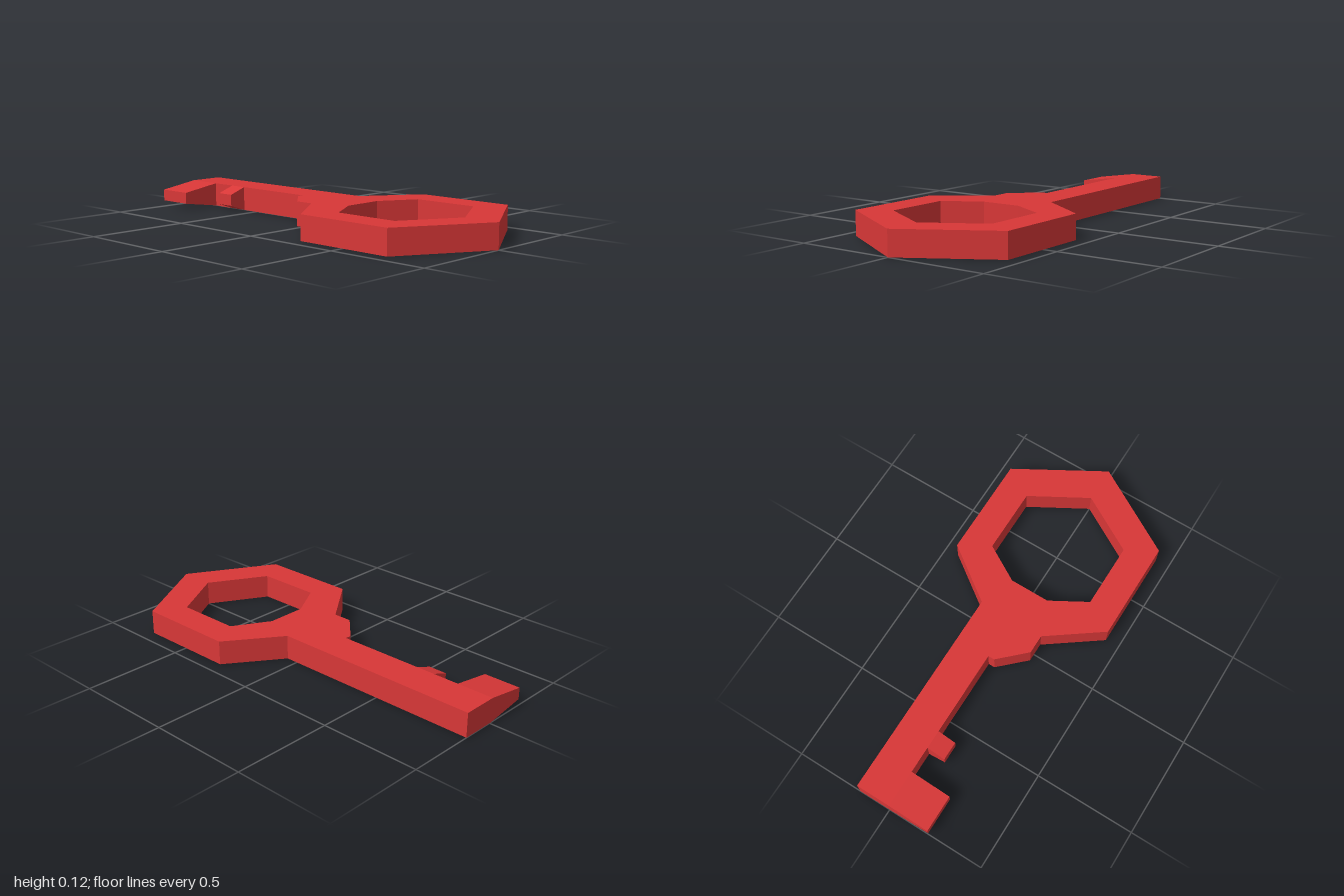
import * as THREE from 'three';

const THICK = 0.12;

// Outline points are [x, z] pairs on the ground plane.
const toShapePoints = (pts) => pts.map(([x, z]) => new THREE.Vector2(x, -z));

export function createModel() {
  const red = new THREE.MeshStandardMaterial({ color: 0xd83737 });
  const key = new THREE.Group();
  key.name = 'key';

  const add = (name, geometry) => {
    const mesh = new THREE.Mesh(geometry, red);
    mesh.name = name;
    key.add(mesh);
  };

  // Hexagonal bow, stepped collar and straight shaft in one flat plate
  const outline = new THREE.Shape(toShapePoints([
    [0, 1], [0.43, 0.75], [0.43, 0.25], [0.165, 0.06], [0.165, -1],
    [-0.01, -1], [-0.01, -0.157], [-0.042, -0.157], [-0.17, -0.035],
    [-0.17, 0.06], [-0.43, 0.25], [-0.43, 0.75],
  ]));
  // Finger hole, cut flat on the shaft side
  outline.holes.push(new THREE.Path(toShapePoints([
    [0, 0.823], [-0.28, 0.662], [-0.28, 0.337], [-0.1, 0.233],
    [0.1, 0.233], [0.28, 0.337], [0.28, 0.662],
  ])));
  const plate = new THREE.ExtrudeGeometry(outline, { depth: THICK, bevelEnabled: false });
  plate.rotateX(-Math.PI / 2);
  add('bowAndShaft', plate);

  // Teeth taper to half thickness at the tip
  const addTooth = (name, tipX, zBack, zFront) => {
    const section = new THREE.Shape([
      new THREE.Vector2(-0.01, 0), new THREE.Vector2(-0.01, THICK),
      new THREE.Vector2(tipX, THICK * 0.74), new THREE.Vector2(tipX, THICK * 0.26),
    ]);
    const tooth = new THREE.ExtrudeGeometry(section, { depth: zFront - zBack, bevelEnabled: false });
    tooth.translate(0, 0, zBack);
    add(name, tooth);
  };
  addTooth('endTooth', -0.215, -1, -0.815);
  addTooth('smallTooth', -0.1, -0.683, -0.59);

  return key;
}
